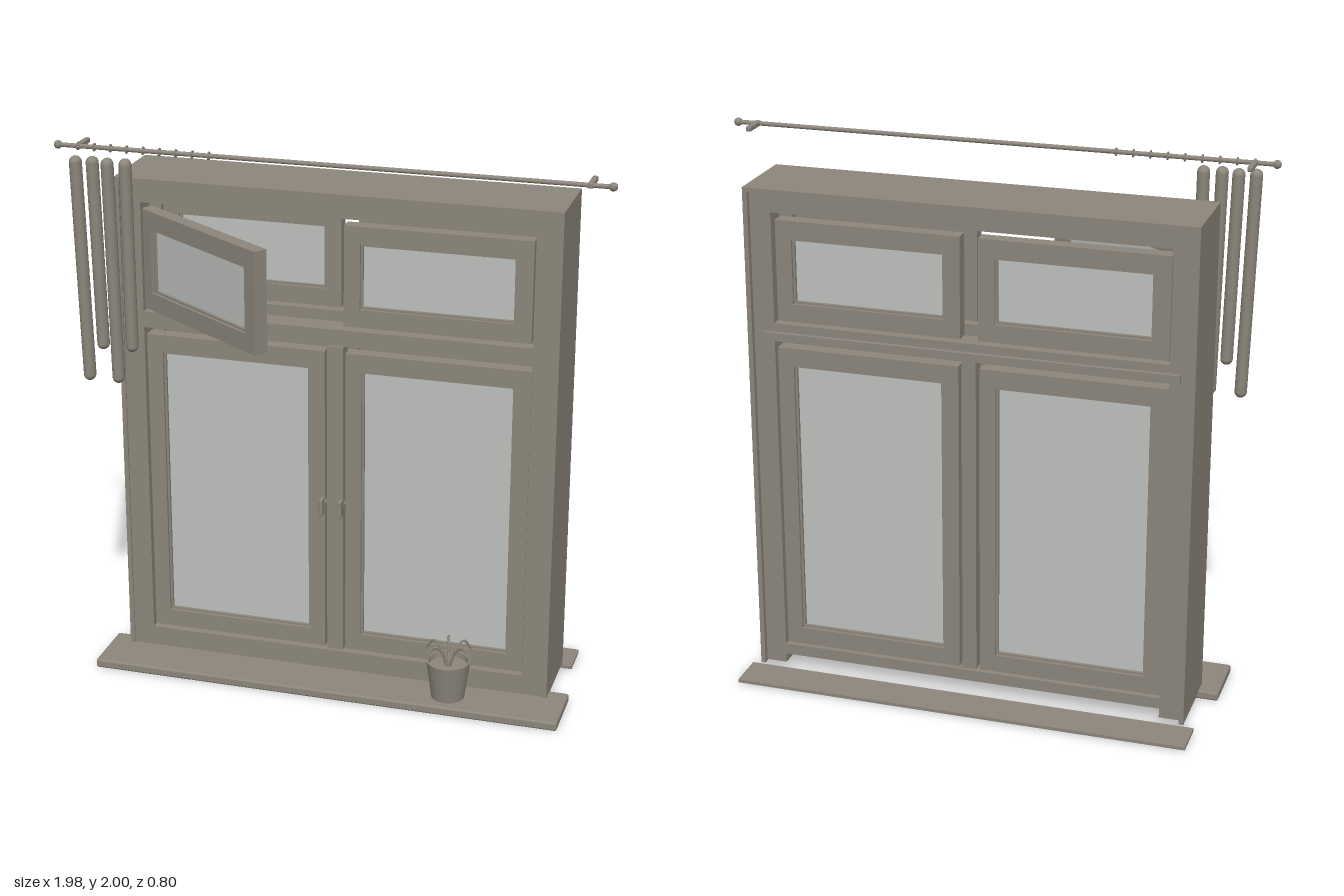
import * as THREE from 'three';
import { RoundedBoxGeometry } from 'three/addons/geometries/RoundedBoxGeometry.js';

const wood = new THREE.MeshStandardMaterial({ color: 0x8c867b });
wood.name = 'taupe';
const glassMat = new THREE.MeshStandardMaterial({ color: 0xbcc0bc });
glassMat.name = 'glass';

function add(parent, name, geometry, x = 0, y = 0, z = 0, material = wood) {
  const m = new THREE.Mesh(geometry, material);
  m.name = name;
  m.position.set(x, y, z);
  parent.add(m);
  return m;
}

// Box given by its limits on each axis
function span(parent, name, x0, x1, y0, y1, z0, z1, material = wood) {
  return add(parent, name, new THREE.BoxGeometry(x1 - x0, y1 - y0, z1 - z0),
    (x0 + x1) / 2, (y0 + y1) / 2, (z0 + z1) / 2, material);
}

// Glazed sash, hinged at its local origin on the left edge
function sash(parent, name, x, y, z, w, h) {
  const g = new THREE.Group();
  g.name = name;
  g.position.set(x, y, z);
  const s = 0.058, r = 0.065, t = 0.026, b = 0.008;
  span(g, 'leftStile', 0, s, 0, h, -t, t);
  span(g, 'rightStile', w - s, w, 0, h, -t, t);
  span(g, 'bottomRail', s, w - s, 0, r, -t, t);
  span(g, 'topRail', s, w - s, h - r, h, -t, t);
  // stepped glazing bead
  for (const x0 of [s, w - s - b]) span(g, 'sideBead', x0, x0 + b, r, h - r, -0.015, 0.015);
  for (const y0 of [r, h - r - b]) span(g, 'crossBead', s + b, w - s - b, y0, y0 + b, -0.015, 0.015);
  span(g, 'pane', s, w - s, r, h - r, -0.004, 0.004, glassMat);
  parent.add(g);
  return g;
}

// One layer of posts, head and bars
function frameLayer(parent, name, z0, z1, railBottom, mullionHalf) {
  const g = new THREE.Group();
  g.name = name;
  span(g, 'leftPost', 0.71, 0.787, 0.035, 1.845, z0, z1);
  span(g, 'rightPost', -0.787, -0.71, 0.035, 1.845, z0, z1);
  span(g, 'head', -0.71, 0.71, 1.775, 1.845, z0, z1);
  span(g, 'bottomRail', -0.71, 0.71, railBottom, 0.112, z0, z1);
  span(g, 'transom', -0.71, 0.71, 1.31, 1.37, z0, z1);
  span(g, 'mullion', -mullionHalf, mullionHalf, 0.11, 1.3, z0 + 0.015, z1 - 0.015);
  parent.add(g);
}

function createModel() {
  const model = new THREE.Group();
  model.name = 'doubleWindow';

  // Deep casing, open at the bottom
  const casing = new THREE.Group();
  casing.name = 'casing';
  for (const s of [-1, 1]) {
    span(casing, 'side', s * 0.795 - 0.0085, s * 0.795 + 0.0085, 0.03, 1.862, -0.265, 0.045);
  }
  span(casing, 'top', -0.787, 0.787, 1.845, 1.862, -0.265, 0.045);
  model.add(casing);
  frameLayer(model, 'innerFrame', -0.05, 0.038, 0.035, 0.03);
  frameLayer(model, 'outerFrame', -0.245, -0.165, 0.07, 0.026);
  // Weather bar on the outer transom
  span(model, 'weatherBar', -0.75, 0.75, 1.31, 1.34, -0.262, -0.24);

  // Inner and outer sashes, with one inner vent swung open
  for (const [layer, z] of [['inner', -0.01], ['outer', -0.205]]) {
    sash(model, layer + 'LowerRightSash', -0.708, 0.115, z, 0.668, 1.162);
    sash(model, layer + 'LowerLeftSash', 0.037, 0.115, z, 0.668, 1.162);
    sash(model, layer + 'UpperLeftSash', 0.03, 1.378, z, 0.67, 0.367);
    const vent = sash(model, layer + 'UpperRightSash', -0.705, 1.378, z, 0.67, 0.367);
    if (layer === 'inner') vent.rotation.y = -THREE.MathUtils.degToRad(35);
  }

  // Handles
  for (const x of [-0.035, 0.035]) {
    add(model, 'handle', new RoundedBoxGeometry(0.014, 0.066, 0.036, 2, 0.005), x, 0.703, 0.074);
    const stem = add(model, 'handleStem', new THREE.CylinderGeometry(0.005, 0.005, 0.06, 10), x, 0.703, 0.035);
    stem.rotation.x = Math.PI / 2;
  }

  // Sills
  add(model, 'innerSill', new RoundedBoxGeometry(1.752, 0.033, 0.235, 2, 0.008), 0, 0.021, 0.102);
  span(model, 'outerSill', -0.84, 0.84, 0.008, 0.02, -0.4, -0.258);

  // Curtain rod with finials, brackets and rings
  const curtain = new THREE.Group();
  curtain.name = 'curtainRail';
  model.add(curtain);
  const rodY = 1.985, rodZ = 0.122;
  add(curtain, 'rod', new THREE.CylinderGeometry(0.008, 0.008, 1.95, 16), 0, rodY, rodZ).rotation.z = Math.PI / 2;
  for (const s of [-1, 1]) {
    add(curtain, 'finial', new THREE.SphereGeometry(0.015, 16, 12), s * 0.975, rodY, rodZ);
    add(curtain, 'bracket', new RoundedBoxGeometry(0.02, 0.02, 0.1, 2, 0.006), s * 0.9, rodY, 0.082);
  }
  for (let i = 0; i < 9; i++) {
    add(curtain, 'ring', new THREE.TorusGeometry(0.012, 0.003, 8, 20), -0.9 + i * 0.06, rodY, rodZ)
      .rotation.y = Math.PI / 2;
  }

  // Gathered curtain folds
  const folds = [[-0.903, -0.88, 1.13], [-0.844, -0.827, 1.25], [-0.785, -0.77, 1.13], [-0.722, -0.718, 1.25]];
  folds.forEach(([xTop, xLow, low], i) => {
    const r = 0.022, top = 1.957, z = i % 2 ? 0.138 : 0.147;
    const f = add(curtain, 'curtainFold', new THREE.CapsuleGeometry(r, top - low - 2 * r, 6, 16),
      (xTop + xLow) / 2, (top + low) / 2, z);
    f.rotation.z = Math.atan2(xLow - xTop, top - low);
    f.scale.z = 1.15;
  });

  // Potted plant
  const plant = new THREE.Group();
  plant.name = 'pottedPlant';
  plant.position.set(0.456, 0.037, 0.125);
  const profile = [[0, 0], [0.06, 0], [0.08, 0.145], [0.072, 0.145], [0.069, 0.125], [0, 0.125]];
  const pot = profile.map(([x, y]) => new THREE.Vector2(x, y));
  const potGeo = new THREE.LatheGeometry(pot, 28).toNonIndexed();
  potGeo.computeVertexNormals();
  add(plant, 'pot', potGeo);
  for (let i = 0; i < 6; i++) {
    const a = i * Math.PI / 3 + 0.3;
    const pts = [[0.008, 0.125], [0.03, 0.185], [0.062, 0.21], [0.093, 0.172]]
      .map(([r, y]) => new THREE.Vector3(r * Math.cos(a), y, r * Math.sin(a)));
    add(plant, 'leaf', new THREE.TubeGeometry(new THREE.CatmullRomCurve3(pts), 14, 0.0045, 6));
  }
  model.add(plant);
  return model;
}

export { createModel };
